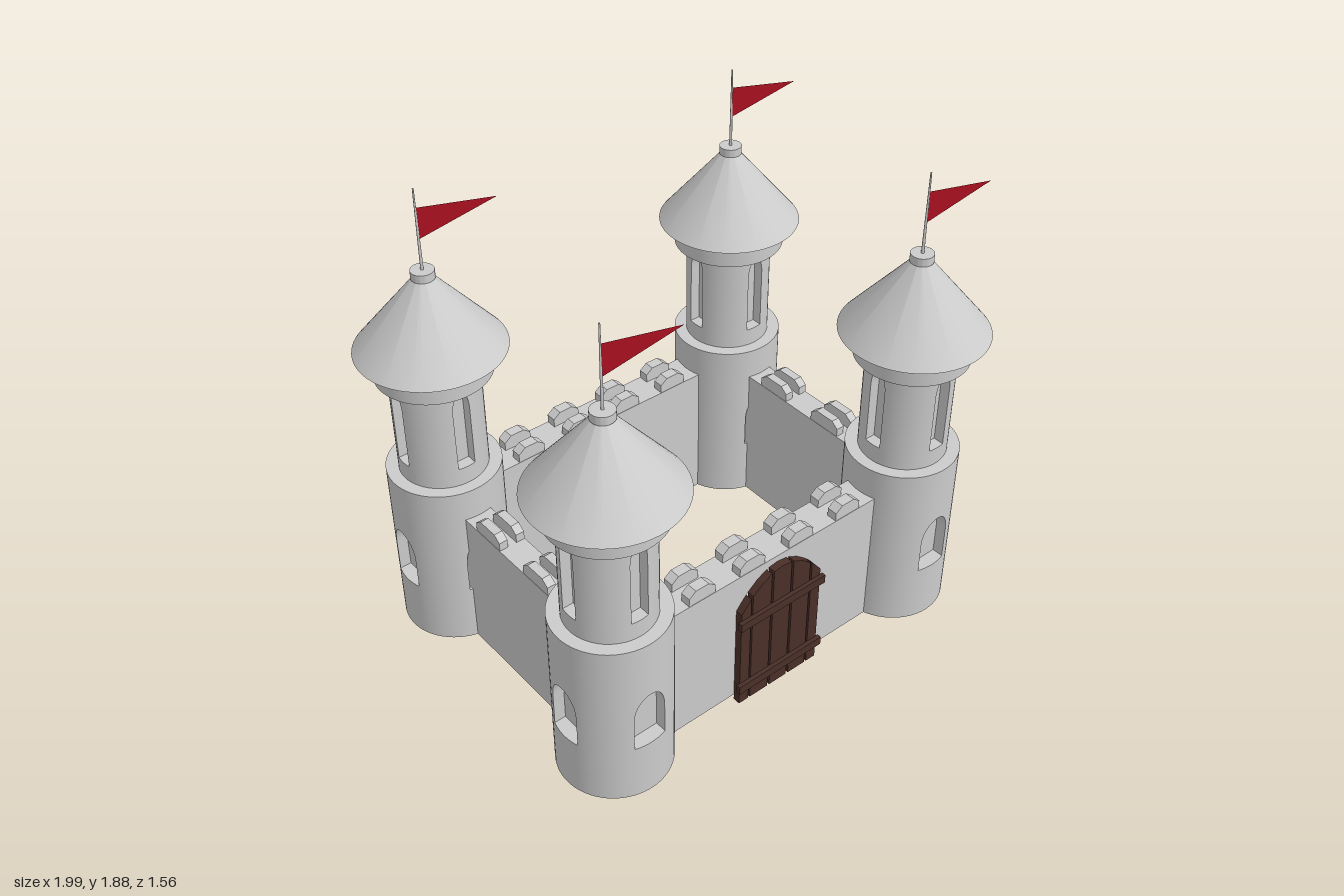
import * as THREE from 'three';
import { toCreasedNormals } from 'three/addons/utils/BufferGeometryUtils.js';

const stone = new THREE.MeshStandardMaterial({ color: 0xcccccc });
const wood = new THREE.MeshStandardMaterial({ color: 0x4a2f28 });
const cloth = new THREE.MeshStandardMaterial({ color: 0xa80f1f, side: THREE.DoubleSide });

function add(parent, name, geometry, material, x = 0, y = 0, z = 0) {
  const mesh = new THREE.Mesh(geometry, material);
  mesh.name = name;
  mesh.position.set(x, y, z);
  parent.add(mesh);
  return mesh;
}

function polygon(points) {
  return new THREE.Shape(points.map(([x, y]) => new THREE.Vector2(x, y)));
}

function extrude(shape, depth) {
  return new THREE.ExtrudeGeometry(shape, { depth, bevelEnabled: false, curveSegments: 20 });
}

// Closed drum with four arched, flat-backed niches cut into its side
function nicheDrum(radius, bottom, top, niche) {
  const { halfWidth, sill, spring, rise, back } = niche;
  const pos = [];
  const tri = (...pts) => pts.forEach((p) => pos.push(...p));
  const quad = (a, b, c, d) => tri(a, b, c, a, c, d);
  const edge = Math.asin(halfWidth / radius);
  const inside = 14, outside = 10;

  for (let k = 0; k < 4; k++) {
    const centre = (k * Math.PI) / 2;
    const c = Math.cos(centre), s = Math.sin(centre);
    const columns = [];
    for (let i = 0; i <= inside; i++) {
      const phi = ((i / inside) * 2 - 1) * Math.PI / 2;
      columns.push({ t: Math.asin((halfWidth / radius) * Math.sin(phi)), arch: spring + rise * Math.cos(phi) });
    }
    for (let i = 1; i <= outside; i++) {
      columns.push({ t: edge + (i / outside) * (Math.PI / 2 - 2 * edge), arch: spring });
    }
    const turn = (u, y, d) => [u * c + d * s, y, d * c - u * s];
    const O = (col, y) => turn(radius * Math.sin(col.t), y, radius * Math.cos(col.t));
    const I = (col, y) => turn(radius * Math.sin(col.t), y, back);

    for (let i = 0; i < columns.length - 1; i++) {
      const a = columns[i], b = columns[i + 1];
      tri(O(a, top), O(b, top), [0, top, 0]);
      tri(O(b, bottom), O(a, bottom), [0, bottom, 0]);
      if (i >= inside) {
        quad(O(a, bottom), O(b, bottom), O(b, top), O(a, top));
        continue;
      }
      quad(O(a, bottom), O(b, bottom), O(b, sill), O(a, sill));
      quad(O(a, a.arch), O(b, b.arch), O(b, top), O(a, top));
      quad(I(a, sill), I(b, sill), I(b, b.arch), I(a, a.arch));
      quad(O(a, sill), O(b, sill), I(b, sill), I(a, sill));
      quad(I(a, a.arch), I(b, b.arch), O(b, b.arch), O(a, a.arch));
    }
    const l = columns[0], r = columns[inside];
    quad(O(l, sill), I(l, sill), I(l, spring), O(l, spring));
    quad(I(r, sill), O(r, sill), O(r, spring), I(r, spring));
  }
  const geometry = new THREE.BufferGeometry();
  geometry.setAttribute('position', new THREE.Float32BufferAttribute(pos, 3));
  return toCreasedNormals(geometry, 0.5);
}

function latheOf(points) {
  const lathe = new THREE.LatheGeometry(points.map(([r, y]) => new THREE.Vector2(r, y)), 64);
  return toCreasedNormals(lathe, 0.5);
}

// Battlement block with clipped upper corners
function merlonGeometry(width, depth) {
  const w = width / 2;
  const shape = polygon([[-w, -0.01], [w, -0.01], [w, 0.035], [w - 0.03, 0.058], [-w + 0.03, 0.058], [-w, 0.035]]);
  return extrude(shape, depth).translate(0, 0, -depth / 2);
}

export function createModel() {
  const castle = new THREE.Group();
  castle.name = 'castle';
  const left = 0.668, right = -0.722, towerZ = 0.505;
  const middle = (left + right) / 2;

  // Four corner towers sharing the same geometries
  const lower = nicheDrum(0.216, 0.02, 0.737,
    { halfWidth: 0.066, sill: 0.26, spring: 0.395, rise: 0.105, back: 0.16 });
  const upper = nicheDrum(0.168, 0.73, 1.16,
    { halfWidth: 0.035, sill: 0.81, spring: 1.06, rise: 0.08, back: 0.122 });
  const collar = latheOf([[0, 1.155], [0.216, 1.155], [0.216, 1.255], [0, 1.255]]);
  const roof = latheOf([[0, 1.255], [0.277, 1.255], [0.03, 1.55]]);
  const cap = latheOf([[0, 1.54], [0.043, 1.54], [0.043, 1.572], [0, 1.572]]);
  const pole = new THREE.CylinderGeometry(0.003, 0.006, 0.33, 10);
  const flag = new THREE.ShapeGeometry(polygon([[0, 1.69], [0.322, 1.74], [0, 1.812]]));
  for (const x of [left, right]) {
    for (const z of [towerZ, -towerZ]) {
      const tower = new THREE.Group();
      tower.name = 'tower';
      tower.position.set(x, 0, z);
      add(tower, 'lowerDrum', lower, stone);
      add(tower, 'upperDrum', upper, stone);
      add(tower, 'collar', collar, stone);
      add(tower, 'roof', roof, stone);
      add(tower, 'roofCap', cap, stone);
      add(tower, 'flagPole', pole, stone, 0, 1.72, 0);
      add(tower, 'flag', flag, cloth);
      castle.add(tower);
    }
  }

  // Front wall with an arched gateway
  const gateX = -0.026, gateHalf = 0.175, top = 0.61;
  const wall = new THREE.Shape();
  wall.moveTo(right, 0.02);
  wall.lineTo(gateX - gateHalf, 0.02);
  wall.lineTo(gateX - gateHalf, 0.42);
  wall.absellipse(gateX, 0.42, gateHalf, 0.15, Math.PI, 0, true);
  wall.lineTo(gateX + gateHalf, 0.02);
  wall.lineTo(left, 0.02);
  wall.lineTo(left, top);
  wall.lineTo(right, top);
  add(castle, 'frontWall', extrude(wall, 0.14), stone, 0, 0, 0.435);

  // Back and side walls
  const height = top - 0.02, midY = 0.02 + height / 2;
  add(castle, 'backWall', new THREE.BoxGeometry(left - right, height, 0.14), stone, middle, midY, -0.51);
  for (const x of [left, right]) {
    add(castle, 'sideWall', new THREE.BoxGeometry(0.11, height, 2 * towerZ), stone, x, midY, 0);
  }

  // Double rows of merlons
  const longMerlon = merlonGeometry(0.118, 0.043);
  for (const z of [0.505, -0.51]) {
    for (const row of [-0.047, 0.047]) {
      for (let i = 0; i < 4; i++) {
        add(castle, 'merlon', longMerlon, stone, -0.375 + i * 0.233, top, z + row);
      }
    }
  }
  const sideMerlon = merlonGeometry(0.148, 0.035).rotateY(Math.PI / 2);
  for (const x of [left, right]) {
    for (const row of [-0.036, 0.036]) {
      for (const z of [0.143, -0.15]) add(castle, 'merlon', sideMerlon, stone, x + row, top, z);
    }
  }

  // Plank gate with an arched top and two cross bars
  const gate = new THREE.Group();
  gate.name = 'gate';
  const archY = (x) => 0.587 - 3.5 * (x - gateX) ** 2;
  for (const [x0, x1] of [[-0.218, -0.173], [-0.165, -0.077], [-0.067, 0.018], [0.028, 0.113], [0.122, 0.167]]) {
    const mid = (x0 + x1) / 2;
    const plank = polygon([[x0, 0], [x1, 0], [x1, archY(x1)], [mid, archY(mid)], [x0, archY(x0)]]);
    add(gate, 'plank', extrude(plank, 0.03), wood, 0, 0, 0.578);
  }
  for (const y of [0.087, 0.41]) {
    add(gate, 'crossBar', new THREE.BoxGeometry(0.41, 0.037, 0.018), wood, gateX, y, 0.615);
  }
  castle.add(gate);

  return castle;
}
